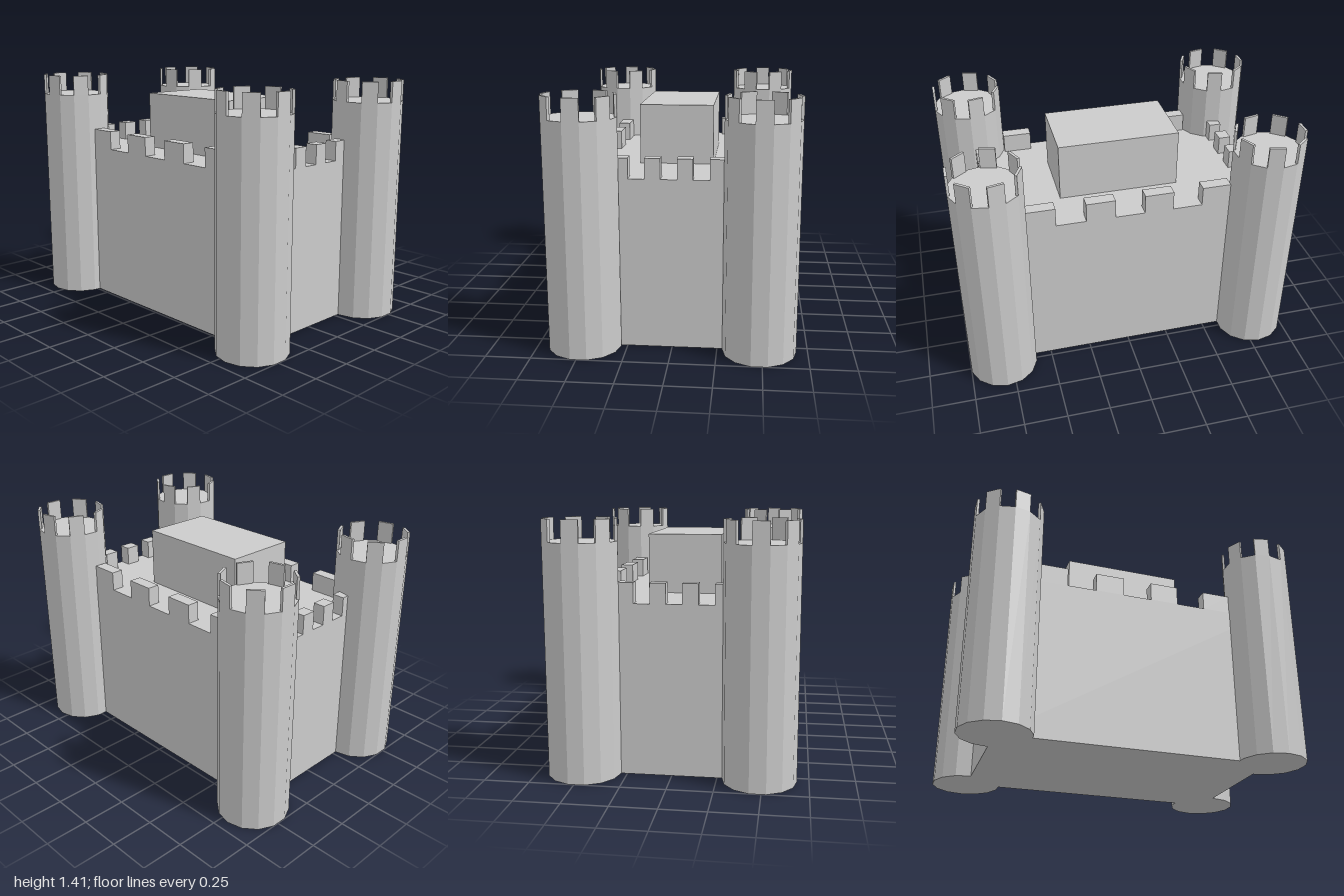
import * as THREE from 'three';

const material = new THREE.MeshStandardMaterial({ color: 0xcccccc, flatShading: true });

// Box given by its minimum and maximum corners
function box(name, [x0, y0, z0], [x1, y1, z1]) {
  const mesh = new THREE.Mesh(new THREE.BoxGeometry(x1 - x0, y1 - y0, z1 - z0), material);
  mesh.name = name;
  mesh.position.set((x0 + x1) / 2, (y0 + y1) / 2, (z0 + z1) / 2);
  return mesh;
}

const SIDES = 14, RADIUS = 0.204, TOWER_H = 1.29, MERLON_TOP = 1.41;

// Fourteen-sided tower with a thin merlon on every second facet;
// side is +1 or -1, the direction in which the first merlon faces
function tower(name, x, z, side) {
  const group = new THREE.Group();
  group.name = name;
  group.position.set(x, 0, z);

  const shaft = new THREE.Mesh(new THREE.CylinderGeometry(RADIUS, RADIUS, TOWER_H, SIDES), material);
  shaft.name = 'towerShaft';
  shaft.position.y = TOWER_H / 2;
  group.add(shaft);

  const apothem = RADIUS * Math.cos(Math.PI / SIDES);
  const width = 2 * RADIUS * Math.sin(Math.PI / SIDES);
  const thick = 0.015, height = MERLON_TOP - TOWER_H;
  for (let i = 0; i < SIDES / 2; i++) {
    const a = (i * 4 * Math.PI) / SIDES;
    const merlon = new THREE.Mesh(new THREE.BoxGeometry(thick, height, width), material);
    merlon.name = 'towerMerlon';
    const r = apothem - thick / 2;
    merlon.position.set(side * r * Math.cos(a), TOWER_H + height / 2, r * Math.sin(a));
    merlon.rotation.y = -side * a;
    group.add(merlon);
  }
  return group;
}

export function createModel() {
  const castle = new THREE.Group();
  castle.name = 'castle';

  // Main body and the keep on its roof
  const roof = 0.957, top = 1.07;
  const left = 0.79, right = -0.8, front = 0.487, back = -0.465;
  castle.add(box('castleBody', [right, 0, back], [left, roof, front]));
  castle.add(box('keep', [-0.36, roof, -0.2], [0.355, 1.3, 0.228]));

  // Merlons along the four walls
  const depth = 0.073;
  for (let i = 0; i < 4; i++) {
    const x = -0.603 + i * 0.344;
    castle.add(box('frontMerlon', [x, roof, front - depth], [x + 0.17, top, front]));
    castle.add(box('backMerlon', [x, roof, back], [x + 0.17, top, back + depth]));
    const z = -0.29 + i * 0.175;
    castle.add(box('leftMerlon', [left - depth, roof, z], [left, top, z + 0.086]));
    castle.add(box('rightMerlon', [right, roof, z], [right + depth, top, z + 0.086]));
  }

  // Corner towers
  castle.add(tower('frontRightTower', -0.8, 0.481, -1));
  castle.add(tower('backRightTower', -0.8, -0.488, -1));
  castle.add(tower('frontLeftTower', 0.8, 0.488, 1));
  castle.add(tower('backLeftTower', 0.8, -0.483, 1));
  return castle;
}
